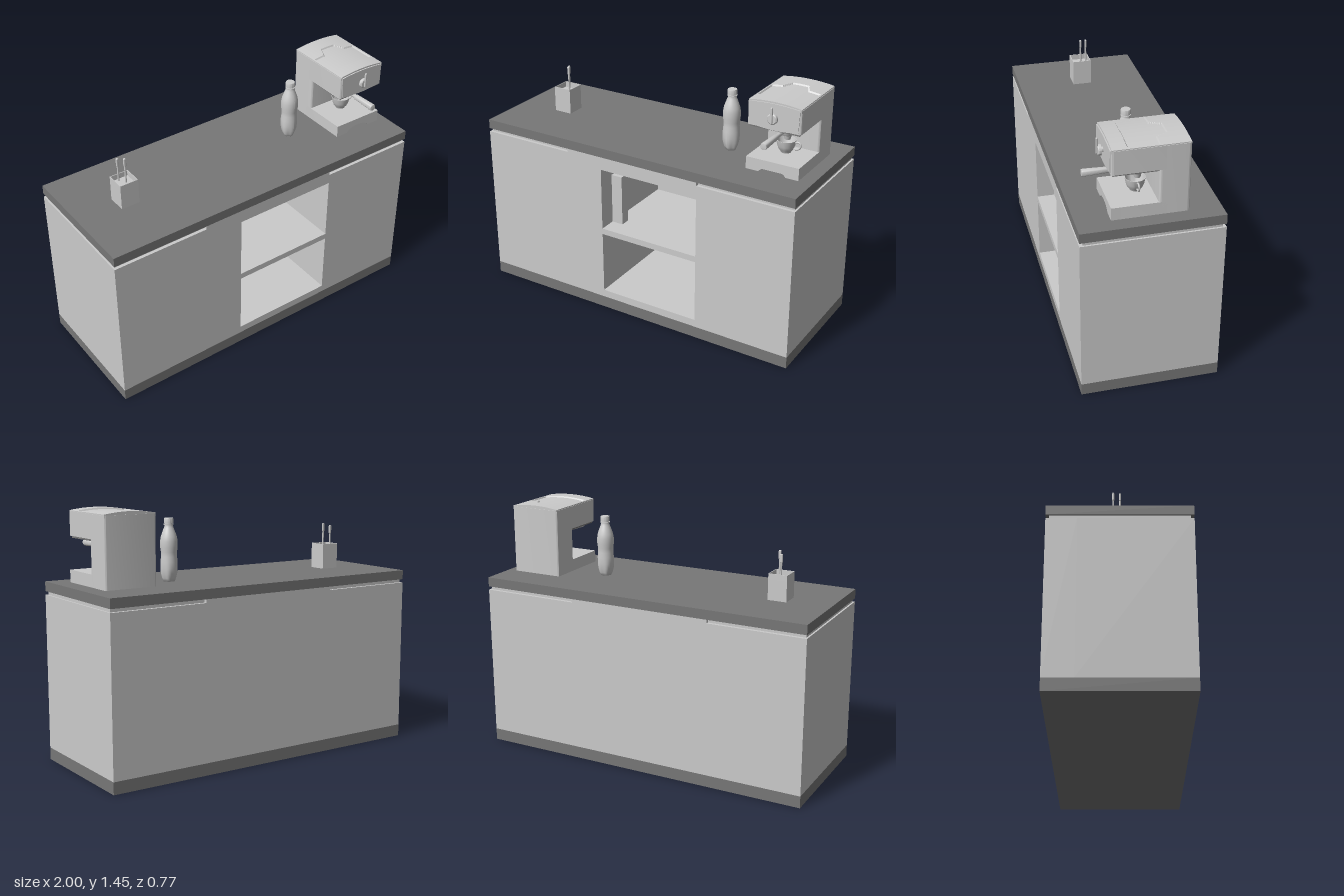
import * as THREE from 'three';
import { RoundedBoxGeometry } from 'three/addons/geometries/RoundedBoxGeometry.js';
import { toCreasedNormals } from 'three/addons/utils/BufferGeometryUtils.js';

const grey = new THREE.MeshStandardMaterial({ color: 0xcccccc });
const thin = new THREE.MeshStandardMaterial({ color: 0xcccccc, side: THREE.DoubleSide });
const dark = new THREE.MeshStandardMaterial({ color: 0x777777 });

function add(parent, name, geo, mat = grey, x = 0, y = 0, z = 0) {
  const m = new THREE.Mesh(geo, mat);
  m.name = name;
  m.position.set(x, y, z);
  parent.add(m);
  return m;
}

// Box given by its limits on each axis
function box(parent, name, x0, x1, y0, y1, z0, z1, mat) {
  return add(parent, name, new THREE.BoxGeometry(x1 - x0, y1 - y0, z1 - z0), mat,
    (x0 + x1) / 2, (y0 + y1) / 2, (z0 + z1) / 2);
}

function lathe(points, seg = 32) {
  return toCreasedNormals(new THREE.LatheGeometry(points.map(p => new THREE.Vector2(...p)), seg), 0.6);
}

function polygon(points, Type = THREE.Shape) {
  return new Type(points.map(p => new THREE.Vector2(...p)));
}

function extrude(shape, depth) {
  return toCreasedNormals(new THREE.ExtrudeGeometry(shape, { depth, bevelEnabled: false, curveSegments: 16 }), 0.5);
}

// Rounded rectangle in plan, extruded upwards
function slab(parent, name, x0, x1, y0, y1, z0, z1, r = 0.015) {
  const s = new THREE.Shape();
  s.moveTo(x0 + r, -z1);
  s.lineTo(x1 - r, -z1).quadraticCurveTo(x1, -z1, x1, -z1 + r);
  s.lineTo(x1, -z0 - r).quadraticCurveTo(x1, -z0, x1 - r, -z0);
  s.lineTo(x0 + r, -z0).quadraticCurveTo(x0, -z0, x0, -z0 - r);
  s.lineTo(x0, -z1 + r).quadraticCurveTo(x0, -z1, x0 + r, -z1);
  const m = add(parent, name, extrude(s, y1 - y0), grey, 0, y0, 0);
  m.rotation.x = -Math.PI / 2;
  return m;
}

function makeCounter() {
  const g = new THREE.Group();
  g.name = 'counter';
  box(g, 'plinth', -1, 1, 0, 0.07, -0.383, 0.383, dark);
  box(g, 'worktop', -1, 1, 0.98, 1.035, -0.383, 0.383, dark);
  box(g, 'worktopSpacer', -0.99, 0.99, 0.955, 0.98, -0.365, 0.365);
  // Carcass with a raised middle and two open shelves
  const outline = () => polygon([[-1, 0.07], [1, 0.07], [1, 0.96], [0.42, 0.96], [0.42, 0.98],
    [-0.43, 0.98], [-0.43, 0.96], [-1, 0.96]]);
  const front = outline();
  for (const [y0, y1] of [[0.115, 0.492], [0.528, 0.903]]) {
    front.holes.push(polygon([[-0.2, y0], [-0.2, y1], [0.42, y1], [0.42, y0]], THREE.Path));
  }
  add(g, 'cabinetFront', extrude(front, 0.603), grey, 0, 0, -0.22);
  add(g, 'cabinetBack', extrude(outline(), 0.163), grey, 0, 0, -0.383);
  box(g, 'shelfBox', -0.199, -0.13, 0.528, 0.83, 0.22, 0.28);
  return g;
}

function makeStirrerPot() {
  const g = new THREE.Group();
  g.name = 'stirrerPot';
  g.position.set(-0.698, 1.035, 0);
  const h = 0.055, t = 0.004;
  box(g, 'potBody', -h, h, 0, 0.118, -h, h);
  for (const s of [-1, 1]) {
    const a = s * h, b = s * (h - t);
    box(g, 'potRimSide', Math.min(a, b), Math.max(a, b), 0.118, 0.15, -h, h);
    box(g, 'potRimEnd', -h + t, h - t, 0.118, 0.15, Math.min(a, b), Math.max(a, b));
  }
  for (const [x, z, top] of [[-0.012, -0.037, 0.262], [0.012, 0, 0.273]]) {
    add(g, 'stirrerShaft', new THREE.CylinderGeometry(0.005, 0.005, top - 0.11, 10), grey, x, (top + 0.11) / 2, z);
    add(g, 'stirrerHead', new RoundedBoxGeometry(0.016, 0.05, 0.012, 2, 0.005), grey, x, top - 0.025, z);
  }
  return g;
}

function makeBottle() {
  const g = new THREE.Group();
  g.name = 'bottle';
  g.position.set(0.42, 1.035, 0);
  const body = new THREE.LatheGeometry([[0, 0.012], [0.02, 0.004], [0.032, 0], [0.04, 0.018], [0.047, 0.045], [0.049, 0.075],
    [0.048, 0.11], [0.045, 0.14], [0.045, 0.165], [0.049, 0.19], [0.049, 0.225], [0.045, 0.25], [0.036, 0.277],
    [0.027, 0.3], [0.022, 0.315], [0.022, 0.335]].map(p => new THREE.Vector2(...p)), 50);
  // Five-lobed foot fading out up the body
  const p = body.attributes.position;
  for (let i = 0; i < p.count; i++) {
    const fade = Math.max(0, 1 - p.getY(i) / 0.1);
    const k = 1 - 0.16 * fade * (1 - Math.cos(5 * Math.atan2(p.getX(i), p.getZ(i)))) / 2;
    p.setX(i, p.getX(i) * k);
    p.setZ(i, p.getZ(i) * k);
  }
  body.computeVertexNormals();
  add(g, 'bottleBody', body, thin);
  add(g, 'bottleCollar', new THREE.CylinderGeometry(0.028, 0.028, 0.006, 32), grey, 0, 0.318, 0);
  add(g, 'bottleCap', lathe([[0, 0.326], [0.027, 0.326], [0.027, 0.348], [0.025, 0.354], [0, 0.354]]));
  return g;
}

function makeCoffeeMachine() {
  const g = new THREE.Group();
  g.name = 'coffeeMachine';
  const cx = 0.775, x0 = 0.62, x1 = 0.93;

  slab(g, 'rearHousing', x0, x1, 1.045, 1.435, -0.205, -0.042);
  slab(g, 'brewHead', x0, x1, 1.302, 1.435, -0.09, 0.205);
  box(g, 'headUnderside', x0 + 0.012, x1 - 0.012, 1.29, 1.303, -0.045, 0.195, dark);

  // Crowned lid with a sunken tray
  const lid = new THREE.BoxGeometry(x1 - x0 - 0.006, 0.02, 0.404, 60, 1, 80);
  const p = lid.attributes.position;
  for (let i = 0; i < p.count; i++) {
    if (p.getY(i) < 0) continue;
    const x = Math.abs(p.getX(i)), z = p.getZ(i);
    const inTray = x < 0.14 && z > -0.045 && z < 0.118;
    const inNotch = z <= -0.045 && z > -0.102 && x < 0.075 - (-0.045 - z) * 0.5;
    p.setY(i, 0.01 + 0.013 * (1 - (x / 0.155) ** 2) - (inTray || inNotch ? 0.008 : 0));
  }
  add(g, 'lid', toCreasedNormals(lid, 0.4), grey, cx, 1.43, 0);

  // Front fascia with bowed lower edge
  const f = new THREE.Shape();
  f.moveTo(-0.14, 1.312);
  f.quadraticCurveTo(0, 1.284, 0.14, 1.312);
  f.lineTo(0.145, 1.434);
  f.quadraticCurveTo(0, 1.454, -0.145, 1.434);
  add(g, 'fascia', extrude(f, 0.01), grey, cx, 0, 0.199);

  // Base with an arched finger notch
  slab(g, 'baseRear', x0, x1, 1.045, 1.115, -0.1, 0.17);
  const b = polygon([[-0.155, 1.115], [-0.155, 1.045], [-0.08, 1.045]]);
  b.bezierCurveTo(-0.055, 1.085, 0.055, 1.085, 0.08, 1.045);
  b.lineTo(0.155, 1.045);
  b.lineTo(0.155, 1.115);
  add(g, 'baseFront', extrude(b, 0.055), grey, cx, 0, 0.15);
  add(g, 'foot', new THREE.CylinderGeometry(0.055, 0.055, 0.012, 32), dark, cx, 1.04, 0);

  // Steam knob with its lever
  const knob = add(g, 'steamKnob', lathe([[0.014, 0], [0.014, 0.012], [0.029, 0.014], [0.029, 0.027], [0.024, 0.032], [0, 0.032]]),
    grey, cx, 1.368, 0.206);
  knob.rotation.x = Math.PI / 2;
  add(g, 'steamLever', new RoundedBoxGeometry(0.012, 0.088, 0.012, 2, 0.004), grey, cx, 1.392, 0.24);

  // Filter holder, spout and handle
  add(g, 'filterHolder', lathe([[0, 1.218], [0.034, 1.218], [0.038, 1.224], [0.047, 1.27], [0.056, 1.273], [0.056, 1.292], [0, 1.292]]),
    grey, cx, 0, 0.04);
  add(g, 'spout', new THREE.CylinderGeometry(0.025, 0.016, 0.035, 24), grey, cx, 1.203, 0.03);
  const handle = add(g, 'filterHandle', lathe([[0, 0], [0.011, 0], [0.012, 0.09], [0.016, 0.1], [0.02, 0.235], [0.018, 0.245], [0, 0.248]], 24),
    grey, cx, 1.248, 0.075);
  handle.rotation.x = Math.PI / 2;

  // Cup with a side handle
  add(g, 'cup', lathe([[0, 1.116], [0.028, 1.116], [0.03, 1.122], [0.04, 1.135], [0.048, 1.155], [0.054, 1.188],
    [0.051, 1.188], [0.044, 1.155], [0.034, 1.132], [0, 1.128]]), thin, cx, 0, 0.042);
  const loop = new THREE.CatmullRomCurve3([[0.05, 1.178], [0.072, 1.183], [0.085, 1.17], [0.077, 1.148], [0.042, 1.138]]
    .map(([x, y]) => new THREE.Vector3(x, y, 0)));
  add(g, 'cupHandle', new THREE.TubeGeometry(loop, 24, 0.005, 8), thin, cx, 0, 0.042);
  return g;
}

export function createModel() {
  const model = new THREE.Group();
  model.name = 'coffeeCounter';
  model.add(makeCounter(), makeStirrerPot(), makeBottle(), makeCoffeeMachine());
  return model;
}
